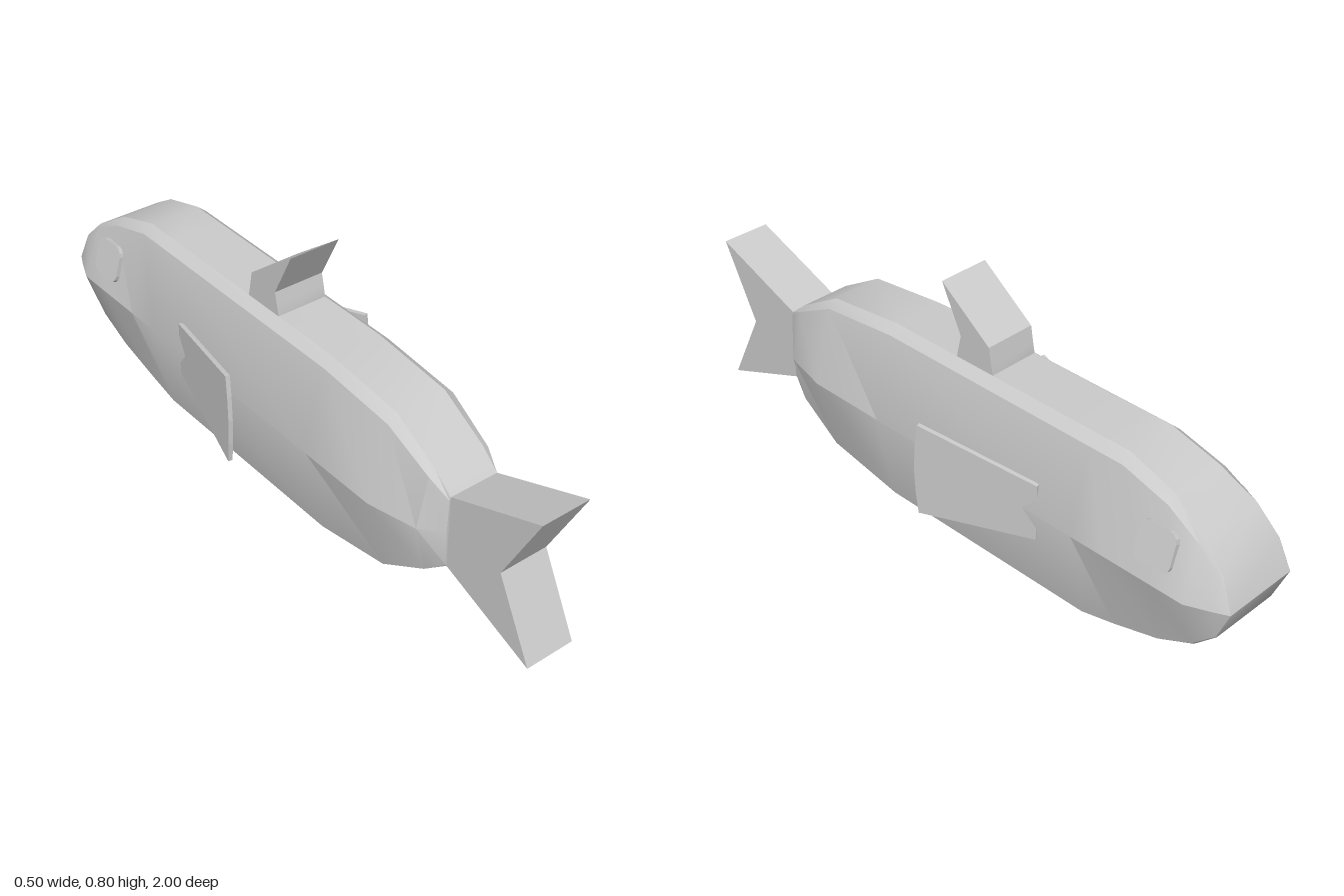
import * as THREE from 'three';
import { toCreasedNormals } from 'three/addons/utils/BufferGeometryUtils.js';

const material = new THREE.MeshStandardMaterial({ color: 0xcccccc });
const MID_Y = 0.305;

function part(name, geometry) {
  const mesh = new THREE.Mesh(geometry, material);
  mesh.name = name;
  return mesh;
}

// Extrudes a [z, y] outline sideways, centred on x = 0
function sideExtrude(outline, thickness) {
  const shape = new THREE.Shape(outline.map(([z, y]) => new THREE.Vector2(-z, y)));
  const geometry = new THREE.ExtrudeGeometry(shape, { depth: thickness, bevelEnabled: false });
  geometry.translate(0, 0, -thickness / 2);
  geometry.rotateY(Math.PI / 2);
  return geometry;
}

// Body cross-sections: z, top y, bottom y, half widths at middle, shoulder and top
const sections = [
  [-1.0, MID_Y, MID_Y, 0.12, 0.12, 0.12],
  [-0.96, 0.40, 0.205, 0.14, 0.115, 0.11],
  [-0.89, 0.47, 0.135, 0.17, 0.115, 0.105],
  [-0.78, 0.54, 0.075, 0.17, 0.112, 0.085],
  [-0.63, 0.585, 0.028, 0.17, 0.11, 0.08],
  [-0.52, 0.585, 0.0, 0.17, 0.11, 0.08],
  [0.22, 0.585, 0.0, 0.17, 0.11, 0.08],
  [0.48, 0.557, 0.05, 0.17, 0.11, 0.08],
  [0.63, 0.47, 0.14, 0.135, 0.1, 0.08],
  [0.69, 0.42, 0.19, 0.085, 0.082, 0.078],
];

function bodyGeometry() {
  const positions = [];
  const index = [];
  const n = 10;
  for (const [z, top, bottom, w, s, t] of sections) {
    const up = MID_Y + (top - MID_Y) * 0.91;
    const low = MID_Y + (bottom - MID_Y) * 0.95;
    const right = [[t, bottom], [s, low], [w, MID_Y], [s, up], [t, top]];
    const left = right.map(([x, y]) => [-x, y]).reverse();
    for (const [x, y] of [...right, ...left]) positions.push(x, y, z);
  }
  for (let i = 0; i < sections.length - 1; i++) {
    for (let j = 0; j < n; j++) {
      const a = i * n + j;
      const b = i * n + (j + 1) % n;
      index.push(a, b, b + n);
      // The nose ring closes to an edge, so its side quads may be triangles
      index.push(a, b + n, a + n);
    }
  }
  // Cap behind the tail
  const last = (sections.length - 1) * n;
  for (let j = 1; j < n - 1; j++) index.push(last, last + j, last + j + 1);
  const geometry = new THREE.BufferGeometry();
  geometry.setAttribute('position', new THREE.Float32BufferAttribute(positions, 3));
  geometry.setIndex(index);
  return toCreasedNormals(geometry, 0.45);
}

export function createModel() {
  const model = new THREE.Group();
  model.name = 'fish';
  model.add(part('body', bodyGeometry()));

  // Forked tail, rooted inside the body
  model.add(part('tailFin', sideExtrude(
    [[0.66, 0.41], [0.69, 0.42], [1, 0.54], [0.88, MID_Y], [1, 0.07], [0.69, 0.19], [0.66, 0.2]], 0.156)));

  // Swept-back dorsal fin
  model.add(part('dorsalFin', toCreasedNormals(sideExtrude(
    [[-0.015, 0.56], [-0.015, 0.585], [-0.022, 0.62], [-0.03, 0.655], [0.04, 0.795],
      [-0.135, 0.665], [-0.143, 0.62], [-0.15, 0.585], [-0.15, 0.56]], 0.16), 0.5)));

  for (const side of [1, -1]) {
    const name = side > 0 ? 'left' : 'right';

    // Thin plate flaring outwards towards the tail
    const fin = part(name + 'PectoralFin', sideExtrude(
      [[0, 0.088], [0.37, 0.147], [0.378, 0.08], [0.382, 0], [0.378, -0.08], [0.37, -0.147], [0, -0.088]], 0.013));
    fin.position.set(side * 0.153, 0.303, -0.39);
    fin.rotation.y = side * 0.243;
    model.add(fin);

    // Eye plate with rounded corners, leaning with the cheek
    const eyeOutline = [];
    for (let k = 0; k < 4; k++) {
      const [cz, cy] = [[1, 1], [-1, 1], [-1, -1], [1, -1]][k];
      for (let m = 0; m < 4; m++) {
        const angle = (k + m / 3) * Math.PI / 2;
        eyeOutline.push([cz * 0.032 + Math.cos(angle) * 0.026, cy * 0.032 + Math.sin(angle) * 0.026]);
      }
    }
    const eye = part(name + 'Eye', sideExtrude(eyeOutline, 0.03));
    eye.position.set(side * 0.139, 0.41, -0.78);
    eye.rotation.z = side * 0.28;
    model.add(eye);
  }
  return model;
}
